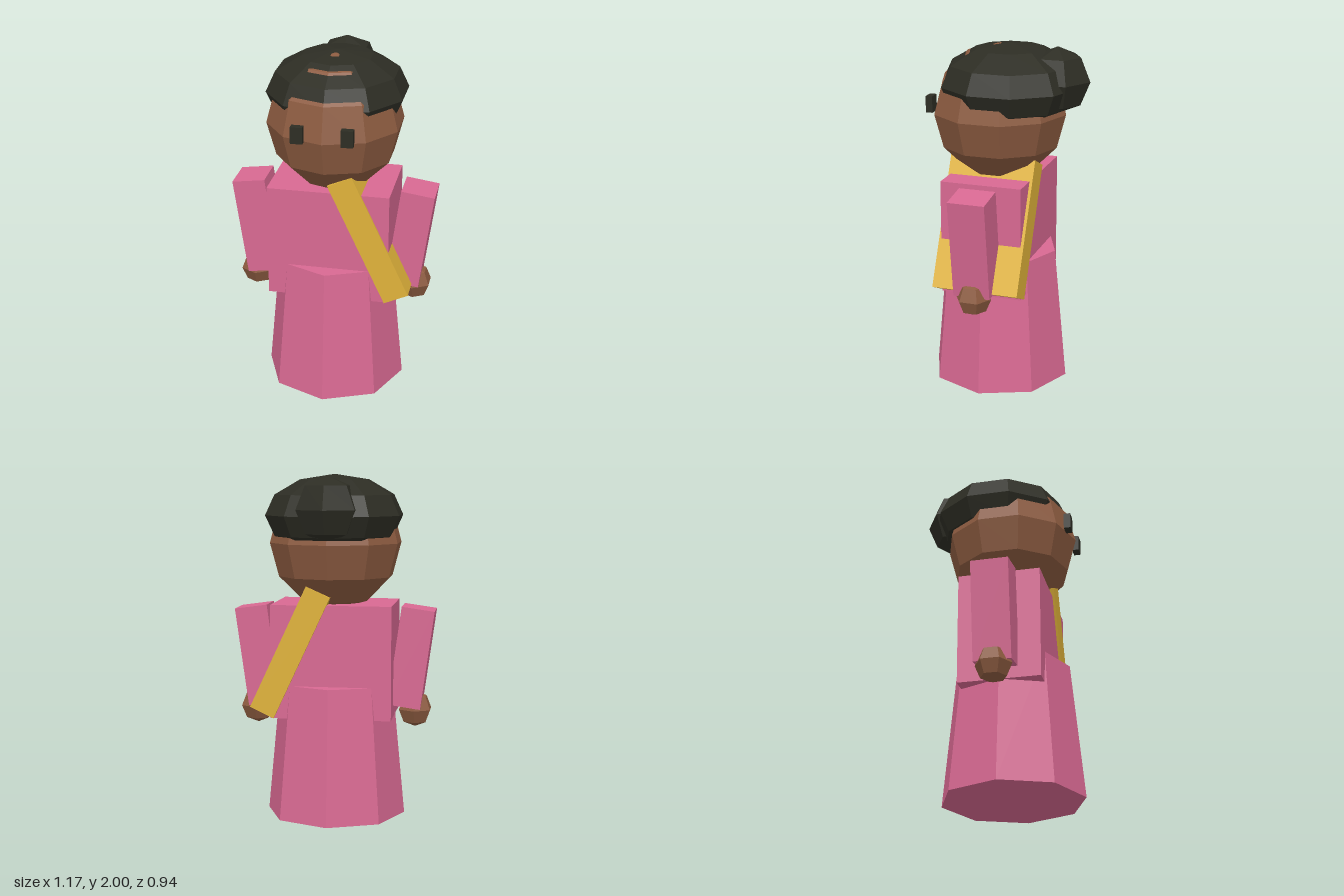
import * as THREE from 'three';

const flat = (name, color) => {
  const m = new THREE.MeshStandardMaterial({ color, flatShading: true });
  m.name = name;
  return m;
};

export function createModel() {
  const pink = flat('pinkDress', 0xd86992);
  const gold = flat('goldSash', 0xdfb23a);
  const skin = flat('brownSkin', 0x8c5b40);
  const dark = flat('darkHair', 0x2d2d24);

  const model = new THREE.Group();
  model.name = 'figure';
  const add = (name, geometry, material, x, y, z, tilt = 0) => {
    const mesh = new THREE.Mesh(geometry, material);
    mesh.name = name;
    mesh.position.set(x, y, z);
    mesh.rotation.z = tilt;
    model.add(mesh);
    return mesh;
  };
  // Faceted ball with a corner line facing the front
  const ball = (r, sides, rings) =>
    new THREE.SphereGeometry(r, sides, rings).rotateY(Math.PI / 2);

  // Dress
  add('skirt', new THREE.CylinderGeometry(0.335, 0.41, 0.785, 8), pink, 0, 0.3925, 0.06);
  add('torso', new THREE.BoxGeometry(0.7, 0.66, 0.475), pink, 0, 0.925, 0.06);

  // Sash across the left shoulder and hip
  add('sash', new THREE.BoxGeometry(0.152, 0.778, 0.505), gold, 0.235, 0.981, 0.058, 0.438);

  // Head and hair; the flattened hair ball sits slightly behind the face
  add('head', ball(0.39, 10, 6), skin, 0, 1.605, 0.06);
  add('hair', ball(0.405, 10, 6).scale(1, 0.58, 1), dark, 0, 1.765, 0);
  add('hairBun', ball(0.19, 6, 4), dark, 0, 1.803, -0.278);

  // Mirrored arms, hands and eyes
  for (const [side, s] of [['left', 1], ['right', -1]]) {
    add(side + 'Arm', new THREE.BoxGeometry(0.192, 0.58, 0.215), pink, s * 0.451, 0.942, 0.06, s * -0.138);
    // the lower end of each arm leans inward, toward the skirt
    model.children.at(-1).rotation.z = s * -0.138;
    add(side + 'Hand', ball(0.105, 6, 4), skin, s * 0.47, 0.63, 0.06);
    add(side + 'Eye', new THREE.BoxGeometry(0.068, 0.095, 0.04), dark, s * 0.138, 1.647, 0.43);
  }
  return model;
}
